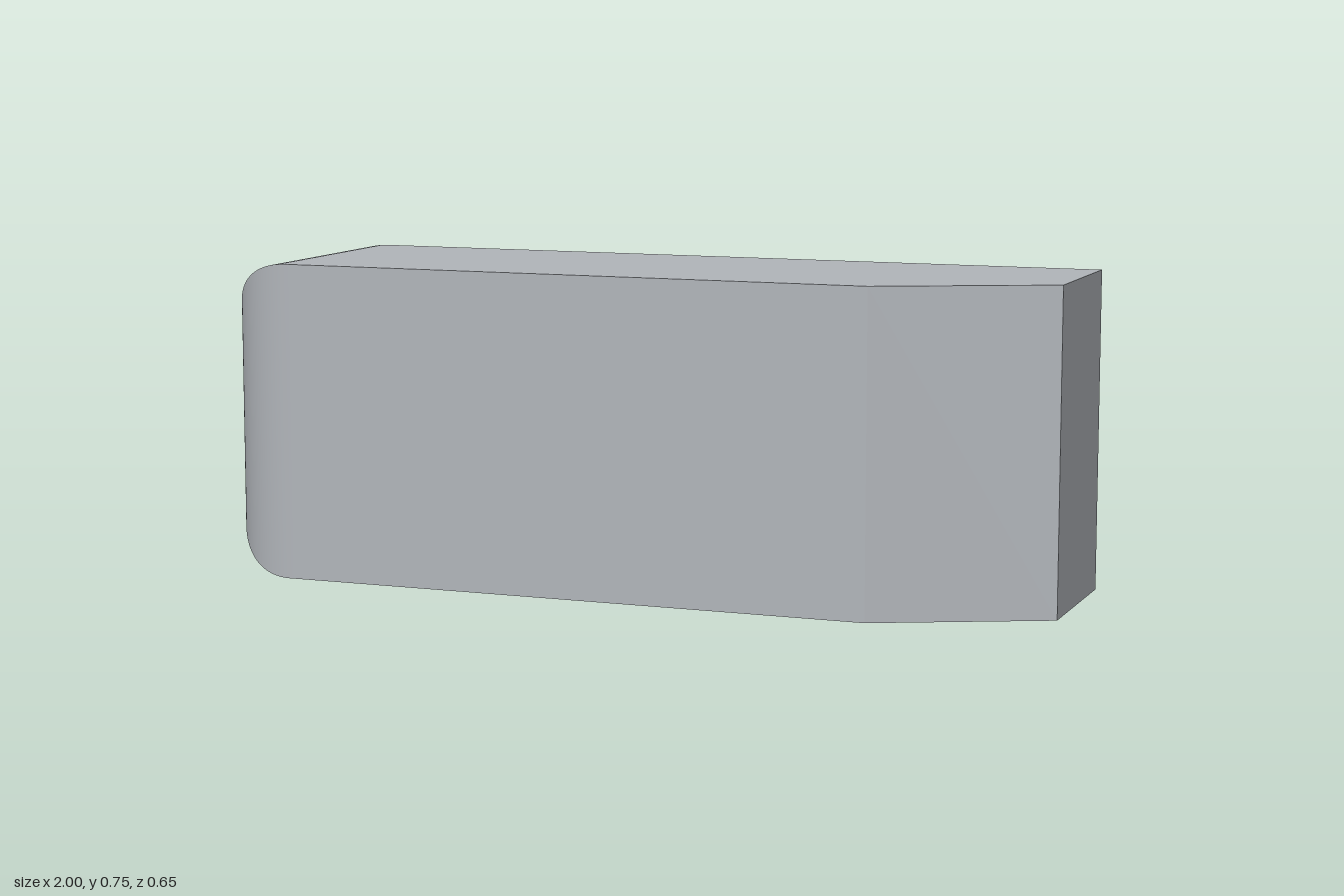
import * as THREE from 'three';
import { toCreasedNormals } from 'three/addons/utils/BufferGeometryUtils.js';

const H = 0.745, BACK = -0.228, FRONT = 0.323, R = 0.19, STEPS = 24;

// Rectangular cross-sections along x: rounded at the -x end, chamfered at the front of the +x end
function bodyGeometry() {
  const stations = [];
  for (let i = 0; i <= STEPS; i++) {
    const a = (i / STEPS) * Math.PI / 2;
    stations.push({ x: -1 + R * (1 - Math.cos(a)), inset: R * (1 - Math.sin(a)), front: FRONT });
  }
  stations.push({ x: -0.8, inset: 0, front: FRONT });
  stations.push({ x: 0.61, inset: 0, front: FRONT });
  stations.push({ x: 1, inset: 0, front: 0.145 });

  const positions = [], index = [];
  stations.forEach(({ x, inset, front }, i) => {
    const y0 = inset, y1 = H - inset, z0 = BACK + inset, z1 = front - inset;
    positions.push(x, y0, z0, x, y1, z0, x, y1, z1, x, y0, z1);
    if (i === 0) return;
    const a = (i - 1) * 4, b = i * 4;
    for (let j = 0; j < 4; j++) {
      const k = (j + 1) % 4;
      index.push(a + j, a + k, b + k, a + j, b + k, b + j);
    }
  });
  // End caps
  const e = (stations.length - 1) * 4;
  index.push(0, 2, 1, 0, 3, 2, e, e + 1, e + 2, e, e + 2, e + 3);

  const geometry = new THREE.BufferGeometry();
  geometry.setAttribute('position', new THREE.Float32BufferAttribute(positions, 3));
  geometry.setIndex(index);
  return toCreasedNormals(geometry, THREE.MathUtils.degToRad(15));
}

export function createModel() {
  const group = new THREE.Group();
  const grey = new THREE.MeshStandardMaterial({ color: 0xb2b6bb });
  grey.name = 'light grey';

  const body = new THREE.Mesh(bodyGeometry(), grey);
  body.name = 'body';
  group.add(body);

  // Four mounting pins on the back
  const length = -0.01 + BACK + 0.333 + 0.01;
  const pinGeometry = new THREE.CylinderGeometry(0.028, 0.028, length, 32).rotateX(Math.PI / 2);
  for (const x of [-0.69, 0.21]) {
    for (const y of [0.112, 0.635]) {
      const pin = new THREE.Mesh(pinGeometry, grey);
      pin.name = 'mountingPin';
      pin.position.set(x, y, -0.323 + length / 2);
      group.add(pin);
    }
  }
  return group;
}
